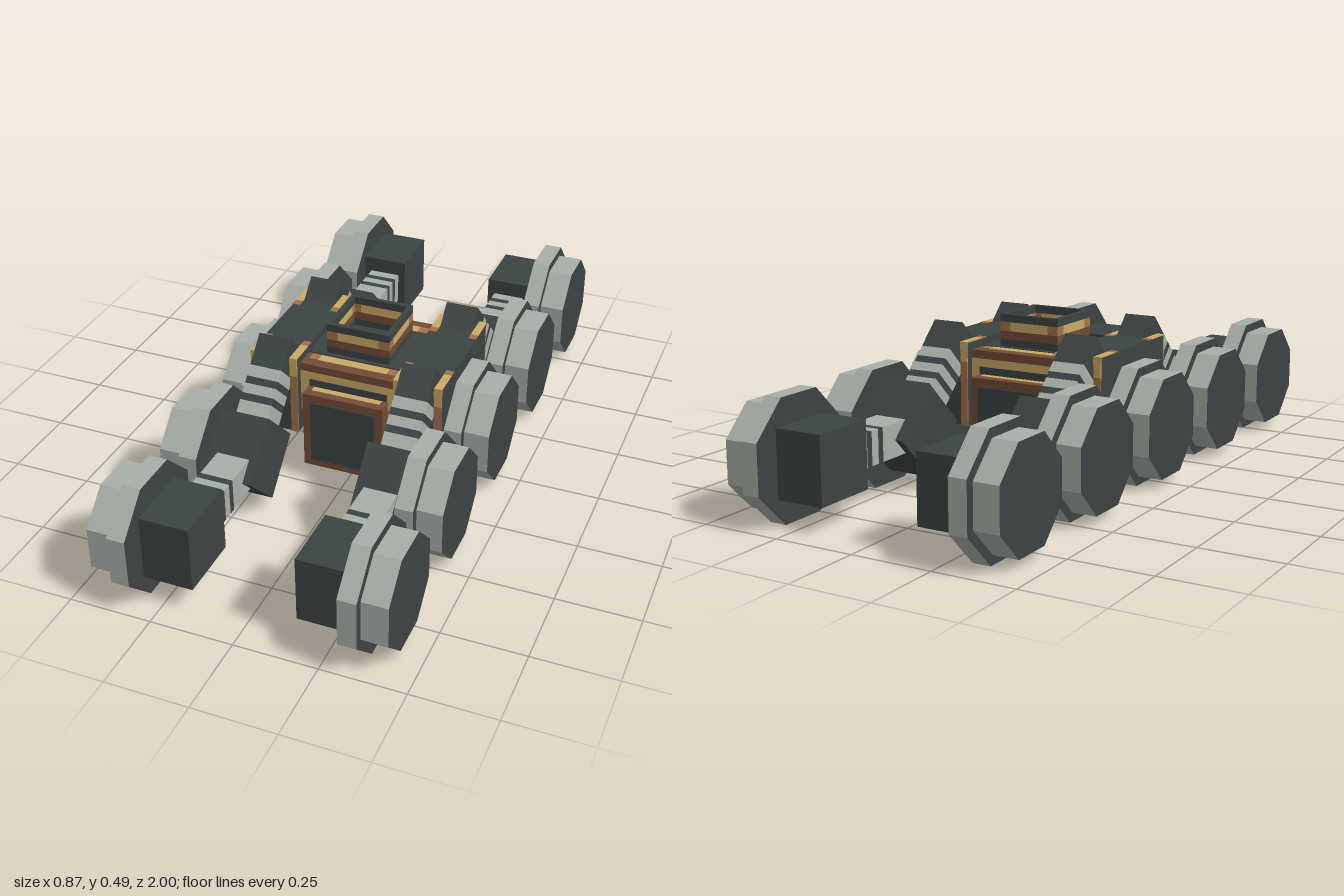
import * as THREE from 'three';

const mat = (name, color) => {
  const m = new THREE.MeshStandardMaterial({ color });
  m.name = name;
  return m;
};

export function createModel() {
  const dark = mat('dark steel', 0x3c4343);
  const grey = mat('light grey', 0xa8b0a9);
  const tan = mat('brass', 0xcbaa63);
  const copper = mat('copper', 0xa5714b);
  const brown = mat('brown', 0x714b36);

  const model = new THREE.Group();
  model.name = 'tenWheeledRover';

  // Box given by its limits on each axis
  const box = (parent, name, m, [x0, x1], [y0, y1], [z0, z1]) => {
    const mesh = new THREE.Mesh(new THREE.BoxGeometry(x1 - x0, y1 - y0, z1 - z0), m);
    mesh.position.set((x0 + x1) / 2, (y0 + y1) / 2, (z0 + z1) / 2);
    mesh.name = name;
    parent.add(mesh);
    return mesh;
  };
  const group = (name, parent = model) => {
    const g = new THREE.Group();
    g.name = name;
    parent.add(g);
    return g;
  };

  // Octagonal disc lying across x, with flats at top and bottom
  const disc = (parent, name, apothem, x0, x1) => {
    const r = apothem / Math.cos(Math.PI / 8);
    const geo = new THREE.CylinderGeometry(r, r, x1 - x0, 8, 1, false, Math.PI / 8)
      .rotateZ(Math.PI / 2).toNonIndexed();
    geo.computeVertexNormals();
    const mesh = new THREE.Mesh(geo, [grey, dark, dark]);
    mesh.position.x = (x0 + x1) / 2;
    mesh.name = name;
    parent.add(mesh);
  };

  // Square beam along +z with dark bands
  const W = 0.051;
  const beam = (parent, start, end) => {
    let z = start;
    for (const [m, len] of [[grey, 0.035], [dark, 0.022], [grey, 0.03], [dark, 0.022], [grey, 1]]) {
      const next = Math.min(end, z + len);
      box(parent, 'beamSegment', m, [-W, W], [-W, W], [z, next]);
      z = next;
    }
  };

  const WY = 0.18, HX = 0.23;
  for (const side of [1, -1]) {
    // Wheels
    for (let i = -2; i <= 2; i++) {
      const wheel = group('wheel');
      wheel.position.set(0, WY, i * 0.41);
      disc(wheel, 'wheelRim', 0.18, side > 0 ? 0.305 : -0.36, side > 0 ? 0.36 : -0.305);
      disc(wheel, 'wheelHub', 0.153, side > 0 ? 0.36 : -0.437, side > 0 ? 0.437 : -0.36);
    }

    for (const end of [1, -1]) {
      // Wheel motors: level at the ends, turned 45 degrees next to the body
      for (const [z, turn] of [[0.82, 0], [0.41, Math.PI / 4]]) {
        const motor = box(model, 'wheelMotor', dark, [-0.075, 0.075], [-0.101, 0.101], [-0.101, 0.101]);
        motor.position.set(side * HX, WY, end * z);
        motor.rotation.x = turn;
      }
      // Level link between the outer pair of wheels
      const link = group('linkBeam');
      link.position.set(side * HX, WY, end * 0.72);
      link.rotation.y = end > 0 ? Math.PI : 0;
      beam(link, 0, 0.24);

      // Sloping arm up to the body, with a dark shoulder block
      const pivot = group('suspensionArm');
      pivot.position.set(side * HX, WY, end * 0.41);
      pivot.rotation.y = end > 0 ? 0 : Math.PI;
      const arm = group('armBeam', pivot);
      arm.position.set(0, 0.357 * Math.SQRT1_2, -0.357 * Math.SQRT1_2);
      arm.rotation.x = Math.PI / 4;
      box(arm, 'shoulderBlock', dark, [-W, W], [-W, W], [0, 0.1]);
      beam(arm, 0.1, 0.28);
    }

    // Side housing above the middle axle
    const pod = group('sideHousing');
    pod.position.x = side * HX;
    box(pod, 'housing', dark, [-0.075, 0.075], [0.15, 0.41], [-0.207, 0.207]);
    for (const end of [1, -1]) {
      const trim = group('housingTrim', pod);
      trim.rotation.y = end > 0 ? 0 : Math.PI;
      for (const s of [1, -1]) {
        const xs = s > 0 ? [0.052, 0.076] : [-0.076, -0.052];
        box(trim, 'trimUpper', tan, xs, [0.35, 0.411], [0.206, 0.21]);
        box(trim, 'trimLower', copper, xs, [0.15, 0.35], [0.206, 0.21]);
        box(trim, 'trimTop', tan, xs, [0.409, 0.412], [0.125, 0.21]);
        box(trim, 'trimTopEnd', copper, xs, [0.409, 0.412], [0.1, 0.125]);
      }
      box(trim, 'trimBar', tan, [-0.052, 0.052], [0.385, 0.411], [0.206, 0.21]);
    }
  }

  // Upper body, banded from bottom to top
  const body = group('body');
  for (const [m, y0, y1] of [[brown, 0.18, 0.22], [copper, 0.22, 0.28], [tan, 0.28, 0.36], [brown, 0.36, 0.385]])
    box(body, 'bodyBand', m, [-0.155, 0.155], [y0, y1], [-0.182, 0.182]);
  box(body, 'deck', dark, [-0.155, 0.155], [0.384, 0.388], [-0.115, 0.115]);

  // Lower body with framed end panels
  box(body, 'lowerBody', brown, [-0.128, 0.128], [0.055, 0.31], [-0.23, 0.23]);
  box(body, 'belly', dark, [-0.105, 0.105], [0.052, 0.056], [-0.205, 0.205]);
  for (const end of [1, -1]) {
    const face = group('bodyEnd', body);
    face.rotation.y = end > 0 ? 0 : Math.PI;
    box(face, 'endPanel', dark, [-0.103, 0.103], [0.078, 0.283], [0.228, 0.233]);
    box(face, 'ledgeTrim', tan, [-0.11, 0.11], [0.309, 0.312], [0.182, 0.205]);
    box(face, 'ventStrip', dark, [-0.125, 0.125], [0.312, 0.335], [0.18, 0.185]);
    box(face, 'deckTrim', tan, [-0.11, 0.11], [0.384, 0.387], [0.12, 0.15]);
    for (const s of [1, -1]) {
      box(face, 'deckTrimEnd', copper, s > 0 ? [0.11, 0.14] : [-0.14, -0.11], [0.384, 0.387], [0.12, 0.15]);
      box(face, 'sideTrim', tan, s > 0 ? [0.127, 0.13] : [-0.13, -0.127], [0.085, 0.155], [0.12, 0.205]);
    }
  }

  // Open hatch on the deck: four banded walls
  const hatch = group('hatch');
  for (let i = 0; i < 4; i++) {
    const wall = group('hatchWall', hatch);
    wall.rotation.y = i * Math.PI / 2;
    const z = [0.086, 0.101];
    box(wall, 'wallBase', dark, [-0.101, 0.101], [0.385, 0.41], z);
    box(wall, 'wallLower', brown, [-0.101, 0.101], [0.41, 0.436], z);
    box(wall, 'wallPanel', tan, [-0.066, 0.066], [0.436, 0.464], z);
    box(wall, 'wallCorner', copper, [0.066, 0.101], [0.436, 0.464], z);
    box(wall, 'wallCorner', copper, [-0.101, -0.066], [0.436, 0.464], z);
    box(wall, 'wallRim', dark, [-0.101, 0.101], [0.464, 0.488], z);
  }

  return model;
}
